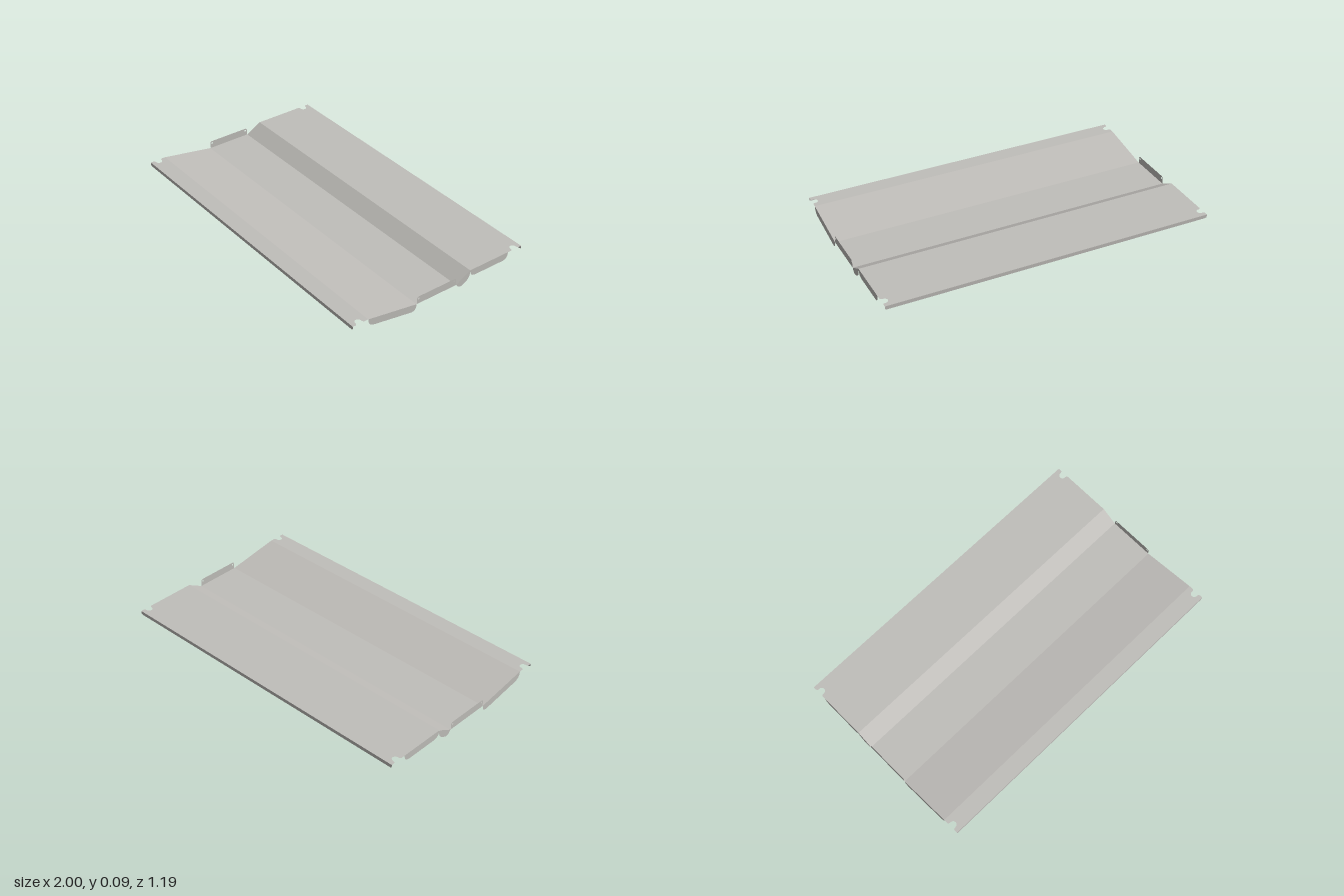
import * as THREE from 'three';

const TOP = 0.0955, LOW = 0.041, EDGE = 0.594;

// Closed outline from [x, y, cornerRadius] points
function roundedShape(corners) {
  const shape = new THREE.Shape();
  const n = corners.length;
  corners.forEach(([x, y, r], i) => {
    const towards = ([px, py]) => {
      const d = Math.hypot(px - x, py - y);
      return [x + (px - x) * r / d, y + (py - y) * r / d];
    };
    const a = r ? towards(corners[(i + n - 1) % n]) : [x, y];
    if (i === 0) shape.moveTo(...a); else shape.lineTo(...a);
    if (r) shape.quadraticCurveTo(x, y, ...towards(corners[(i + 1) % n]));
  });
  shape.closePath();
  return shape;
}

// Flat strip whose outer edge has a notch near each end; y runs outwards
function notchedShape(inner) {
  const side = new THREE.Path();
  side.moveTo(1, inner);
  side.lineTo(1, 0.513);
  side.quadraticCurveTo(1, 0.527, 0.984, 0.527);
  side.absarc(0.982, 0.546, 0.019, -Math.PI / 2, Math.PI / 2, true);
  side.quadraticCurveTo(1, 0.565, 1, 0.578);
  side.lineTo(1, EDGE);
  const right = side.getPoints(8);
  const left = right.map((p) => new THREE.Vector2(-p.x, p.y)).reverse();
  return new THREE.Shape([...right, ...left]);
}

export function createModel() {
  const group = new THREE.Group();
  const metal = new THREE.MeshStandardMaterial({ color: 0xc0beba, side: THREE.DoubleSide });
  metal.name = 'sheet metal';

  const add = (name, geometry, x = 0, y = 0, z = 0) => {
    const mesh = new THREE.Mesh(geometry, metal);
    mesh.name = name;
    mesh.position.set(x, y, z);
    group.add(mesh);
  };

  // Folded panels between two bend lines [z, y], back to front
  const panel = (name, [z0, y0], [z1, y1]) => {
    const g = new THREE.PlaneGeometry(2, Math.hypot(z1 - z0, y1 - y0));
    g.rotateX(-Math.PI / 2 - Math.atan2(y1 - y0, z1 - z0));
    add(name, g, 0, (y0 + y1) / 2, (z0 + z1) / 2);
  };
  panel('stepPanel', [-0.213, TOP], [-0.115, LOW]);
  panel('floorPanel', [-0.115, LOW], [0.165, LOW]);
  panel('slopePanel', [0.165, LOW], [0.493, TOP]);

  // Notched front and rear panels
  add('frontPanel', new THREE.ShapeGeometry(notchedShape(0.493)).rotateX(Math.PI / 2), 0, TOP);
  add('rearPanel', new THREE.ShapeGeometry(notchedShape(0.213)).rotateX(Math.PI / 2).rotateY(Math.PI), 0, TOP);

  // Turned-down lips along the front and rear edges
  const lip = roundedShape([[-1, 0, 0], [-1, -0.022, 0.014], [1, -0.022, 0.014], [1, 0, 0]]);
  add('frontLip', new THREE.ShapeGeometry(lip), 0, TOP, EDGE);
  add('rearLip', new THREE.ShapeGeometry(lip).rotateY(Math.PI), 0, TOP, -EDGE);

  // End flanges, outlined as [z, y, cornerRadius]
  const flanges = {
    SlopeFlange: roundedShape([[0.493, TOP, 0], [0.491, 0.051, 0.04], [0.166, -0.004, 0.04], [0.165, LOW, 0]]),
    FloorFlange: roundedShape([[0.162, LOW, 0], [0.162, 0.087, 0.014], [-0.113, 0.087, 0.014], [-0.113, LOW, 0]]),
    StepFlange: roundedShape([[-0.115, LOW, 0], [-0.14, 0.008, 0.03], [-0.214, 0.049, 0.035], [-0.213, TOP, 0]]),
    RearFlange: roundedShape([[-0.213, TOP, 0], [-0.215, 0.052, 0.042], [-0.493, 0.052, 0.042], [-0.493, TOP, 0]]),
  };
  // Fixing holes in the upright flange
  for (const z of [0.15, -0.1]) {
    flanges.FloorFlange.holes.push(new THREE.Path().absarc(z, 0.073, 0.006, 0, Math.PI * 2, true));
  }
  for (const [side, x] of [['left', 1], ['right', -1]]) {
    for (const [name, shape] of Object.entries(flanges)) {
      add(side + name, new THREE.ShapeGeometry(shape).rotateY(-Math.PI / 2), x);
    }
  }
  return group;
}
